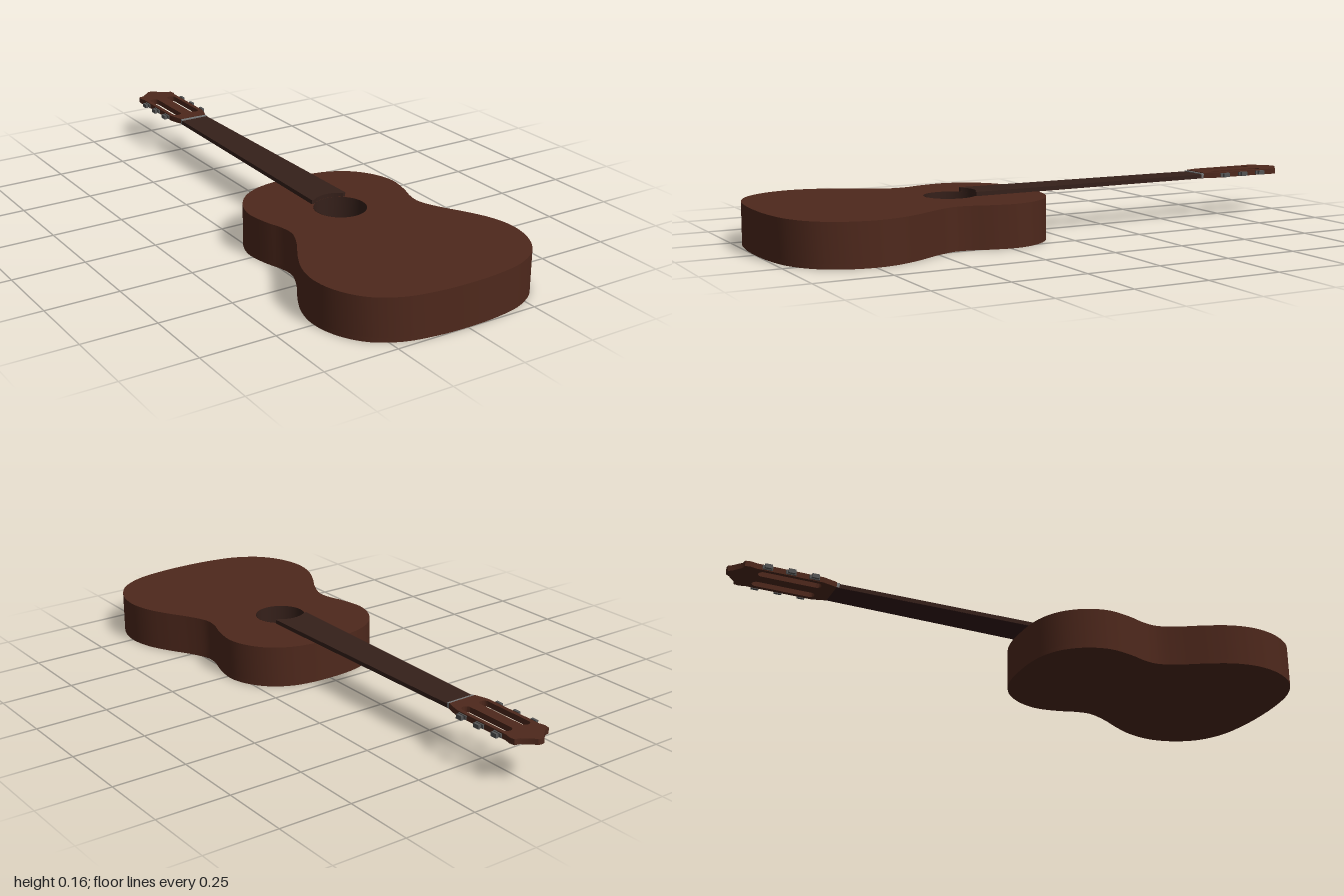
import * as THREE from 'three';
import { toCreasedNormals } from 'three/addons/utils/BufferGeometryUtils.js';

const mat = (color, side = THREE.FrontSide) => new THREE.MeshStandardMaterial({ color, side });
const V = (p) => new THREE.Vector2(p[0], p[1]);

// Mirror a half outline (x >= 0, ordered along z) into a full loop
const mirrored = (half) => [
  ...half,
  ...half.filter((p) => p[0] > 0).reverse().map(([x, z]) => [-x, z]),
];

// Slab drawn in the x/z plane, filling bottom..top in y
function slab(shape, bottom, top) {
  const geo = new THREE.ExtrudeGeometry(shape, { depth: top - bottom, bevelEnabled: false, curveSegments: 24 });
  geo.rotateX(Math.PI / 2).translate(0, top, 0);
  return toCreasedNormals(geo, 0.5);
}

export function createModel() {
  const model = new THREE.Group();
  model.name = 'guitar';
  const wood = mat(0x4e281c);
  const dark = mat(0x35201a);
  const neckWood = mat(0x351a17);
  const metal = mat(0x555555);
  const add = (name, geo, material, parent = model) => {
    const mesh = new THREE.Mesh(geo, material);
    mesh.name = name;
    parent.add(mesh);
    return mesh;
  };

  // Body: smooth closed curve with waist
  const bodyHalf = [
    [0, 0.032], [0.07, 0.035], [0.14, 0.05], [0.205, 0.086], [0.255, 0.148], [0.279, 0.225],
    [0.268, 0.31], [0.247, 0.38], [0.244, 0.43], [0.272, 0.5], [0.322, 0.585], [0.358, 0.665],
    [0.371, 0.75], [0.352, 0.84], [0.3, 0.92], [0.215, 0.972], [0.11, 0.994], [0, 1],
  ];
  const outline = new THREE.CatmullRomCurve3(
    mirrored(bodyHalf).map(([x, z]) => new THREE.Vector3(x, z, 0)), true, 'centripetal',
  ).getPoints(140).slice(0, -1).map((p) => new THREE.Vector2(p.x, p.y));

  const holeZ = 0.333, holeR = 0.087, floorY = 0.015, topY = 0.142;
  const bodyShape = new THREE.Shape(outline);
  bodyShape.holes.push(new THREE.Path().absarc(0, holeZ, holeR, 0, Math.PI * 2, true));
  add('body', slab(bodyShape, floorY, topY), wood);
  add('bodyBack', slab(new THREE.Shape(outline), 0, floorY), wood);

  // Sound hole: dark lining and floor
  const lining = new THREE.LatheGeometry(
    [[0, floorY + 0.002], [holeR - 0.001, floorY + 0.002], [holeR - 0.001, topY]].map(V), 48);
  const hole = add('soundHole', toCreasedNormals(lining.toNonIndexed(), 0.6), mat(0x35201a, THREE.DoubleSide));
  hole.position.z = holeZ;

  // Fingerboard: tapered, cut by the sound hole at its end
  const endZ = 0.266;
  const cut = Math.asin((holeZ - endZ) / holeR);
  const board = new THREE.Shape();
  board.moveTo(-0.052, -0.64);
  board.lineTo(0.052, -0.64);
  board.lineTo(0.065, endZ);
  board.lineTo(holeR * Math.cos(cut), endZ);
  board.absarc(0, holeZ, holeR, -cut, -Math.PI + cut, true);
  board.lineTo(-0.065, endZ);
  board.closePath();
  add('fingerboard', slab(board, topY, 0.156), dark);

  // Neck under the fingerboard
  const neck = new THREE.Shape([[-0.051, -0.65], [0.051, -0.65], [0.061, 0.04], [-0.061, 0.04]].map(V));
  add('neck', slab(neck, 0.1415, 0.15), neckWood);

  // Nut
  const nut = add('nut', new THREE.BoxGeometry(0.104, 0.016, 0.012), mat(0x777777));
  nut.position.set(0, 0.151, -0.645);

  // Headstock: crested outline with two rounded slots
  const headHalf = [
    [0, -1], [0.012, -0.998], [0.022, -0.985], [0.036, -0.974], [0.05, -0.962], [0.068, -0.958],
    [0.071, -0.94], [0.066, -0.92], [0.066, -0.7], [0.061, -0.68], [0.052, -0.65], [0, -0.65],
  ];
  const head = new THREE.Shape(mirrored(headHalf).map(V));
  for (const s of [-1, 1]) {
    const slot = new THREE.Path();
    slot.absarc(s * 0.036, -0.712, 0.016, 0, Math.PI, false);
    slot.absarc(s * 0.036, -0.89, 0.016, Math.PI, Math.PI * 2, false);
    slot.closePath();
    head.holes.push(slot);
  }
  add('headstock', slab(head, 0.142, 0.161), wood);

  // Tuning pegs, three on each side
  for (const s of [-1, 1]) {
    for (const z of [-0.885, -0.808, -0.73]) {
      const peg = new THREE.Group();
      peg.name = 'tuningPeg';
      peg.position.set(s * 0.066, 0.151, z);
      const shaft = add('pegShaft', new THREE.CylinderGeometry(0.004, 0.004, 0.016, 12), metal, peg);
      shaft.rotation.z = Math.PI / 2;
      shaft.position.x = s * 0.006;
      const plate = add('pegPlate', new THREE.BoxGeometry(0.006, 0.013, 0.034), metal, peg);
      plate.position.x = s * 0.002;
      const knob = add('pegKnob', new THREE.BoxGeometry(0.009, 0.014, 0.024), metal, peg);
      knob.position.x = s * 0.0135;
      model.add(peg);
    }
  }
  return model;
}
